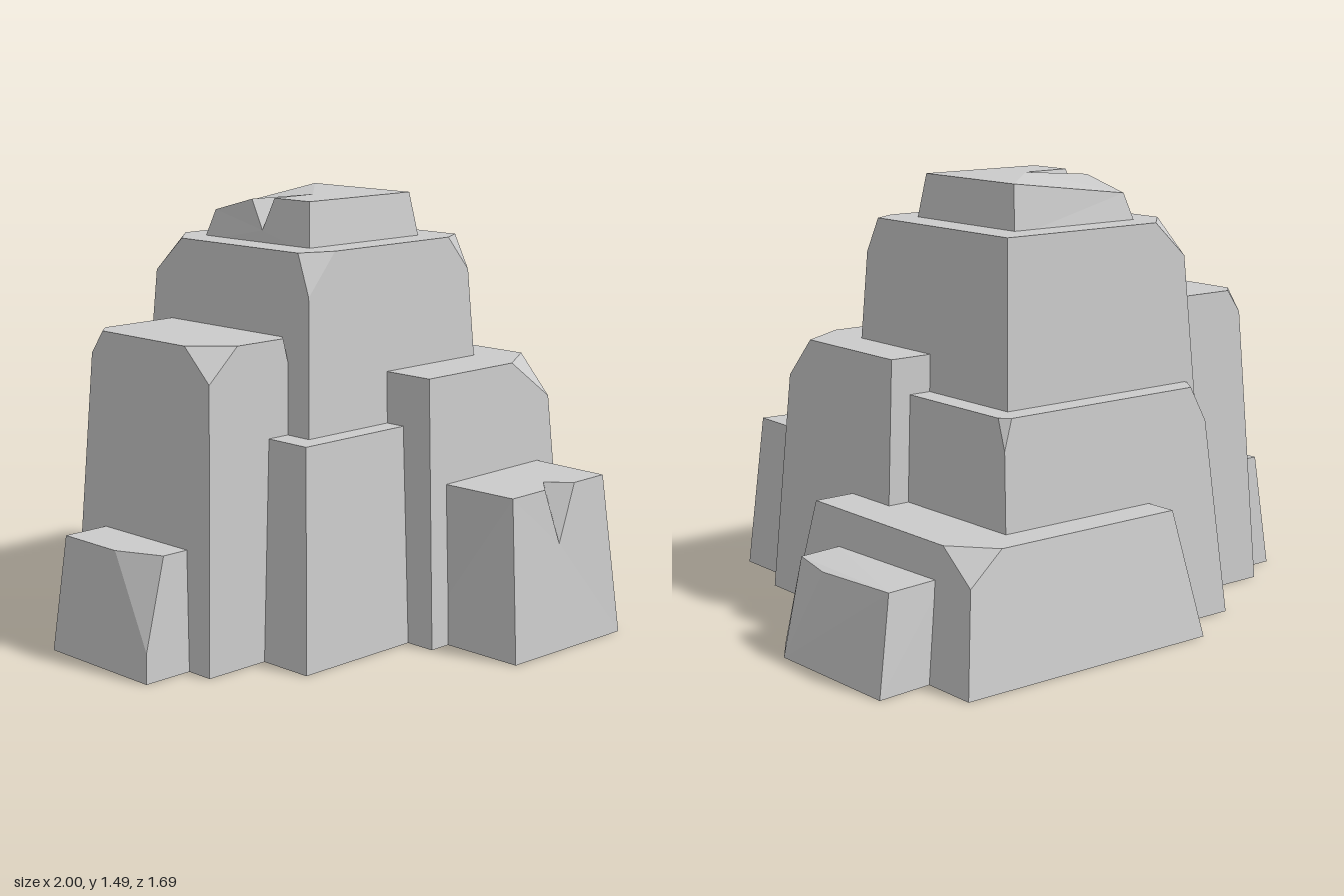
import * as THREE from 'three';
import { ConvexGeometry } from 'three/addons/geometries/ConvexGeometry.js';

const V = (x, y, z) => new THREE.Vector3(x, y, z);

// Tapered block. base/top = [x0, x1, z0, z1]; cuts = chipped top corners,
// each [x side, z side, length along x, length along z, drop down the edge].
function taperedBlock(base, top, height, cuts = []) {
  const points = [];
  for (const i of [0, 1]) {
    for (const k of [0, 1]) {
      const low = V(base[i], 0, base[2 + k]);
      const high = V(top[i], height, top[2 + k]);
      points.push(low);
      const cut = cuts.find((c) => c[0] === i && c[1] === k);
      if (!cut) {
        points.push(high);
        continue;
      }
      const [, , dx, dz, drop] = cut;
      points.push(
        V(high.x + (i ? -dx : dx), height, high.z),
        V(high.x, height, high.z + (k ? -dz : dz)),
        high.clone().lerp(low, drop / height)
      );
    }
  }
  return new ConvexGeometry(points);
}

// Block with a wedge broken out of its first side. Corners run anticlockwise
// seen from above; notch = [edge start, edge end, inner point, low point].
function notchedBlock(low, high, notch) {
  const v = [...low, ...high, ...notch];
  const fans = [
    [11, 8, 4, 0, 1, 5, 9], // broken side
    [10, 9, 5, 6, 7, 4, 8], // top
    [8, 11, 10], [9, 10, 11], // wedge
    [1, 2, 6, 5], [2, 3, 7, 6], [3, 0, 4, 7], [3, 2, 1, 0],
  ];
  const positions = [];
  for (const f of fans) {
    for (let i = 1; i < f.length - 1; i++) {
      for (const n of [f[0], f[i], f[i + 1]]) positions.push(...v[n].toArray());
    }
  }
  const geometry = new THREE.BufferGeometry();
  geometry.setAttribute('position', new THREE.Float32BufferAttribute(positions, 3));
  geometry.computeVertexNormals();
  return geometry;
}

export function createModel() {
  const group = new THREE.Group();
  group.name = 'rockFormation';
  const stone = new THREE.MeshStandardMaterial({ color: 0xcccccc, flatShading: true });
  const add = (name, geometry) => {
    const mesh = new THREE.Mesh(geometry, stone);
    mesh.name = name;
    group.add(mesh);
  };

  // Central column
  add('mainTower', taperedBlock([-0.48, 0.43, -0.59, 0.33], [-0.4, 0.36, -0.5, 0.25], 1.34,
    [[0, 1, 0.12, 0.05, 0.14], [0, 0, 0.12, 0.12, 0.12], [1, 1, 0.09, 0.05, 0.12]]));

  // Capstone, chipped on its -x side
  add('capstone', notchedBlock(
    [V(-0.29, 1.32, -0.39), V(-0.29, 1.32, 0.14), V(0.24, 1.32, 0.14), V(0.24, 1.32, -0.39)],
    [V(-0.26, 1.43, -0.36), V(-0.26, 1.49, 0.11), V(0.22, 1.49, 0.11), V(0.22, 1.49, -0.36)],
    [V(-0.262, 1.48, -0.17), V(-0.26, 1.49, -0.06), V(-0.07, 1.49, -0.07), V(-0.28, 1.38, -0.1)]
  ));

  // Shoulders around the column
  add('sideTower', taperedBlock([-0.82, -0.36, -0.48, 0.22], [-0.76, -0.38, -0.42, 0.17], 1.06,
    [[0, 1, 0.12, 0.12, 0.11], [0, 0, 0.05, 0.05, 0.08], [1, 1, 0.06, 0.08, 0.3]]));
  add('frontShoulder', taperedBlock([-0.58, 0, 0, 0.42], [-0.52, 0, 0, 0.36], 0.74));
  add('frontTower', taperedBlock([-0.1, 0.6, -0.16, 0.53], [-0.06, 0.54, -0.12, 0.47], 0.915,
    [[1, 1, 0.18, 0.11, 0.14]]));
  add('backShoulder', taperedBlock([-0.45, 0.52, -0.7, 0], [-0.39, 0.47, -0.62, 0], 0.79,
    [[0, 0, 0.05, 0.07, 0.12], [1, 0, 0.03, 0.03, 0.1]]));

  // Low outcrops
  add('backLedge', taperedBlock([-0.2, 0.79, -0.845, 0.14], [-0.12, 0.72, -0.77, 0.07], 0.43,
    [[1, 0, 0.12, 0.14, 0.1]]));
  add('sideLedge', taperedBlock([-1, -0.7, -0.37, 0.12], [-0.965, -0.7, -0.33, 0.09], 0.4,
    [[0, 1, 0.07, 0.16, 0.3]]));

  // Small outcrop with one corner sheared from top to ground
  add('smallOutcrop', new ConvexGeometry([
    V(0.7, 0, -0.64), V(0.99, 0, -0.665), V(1, 0, -0.15), V(0.92, 0, -0.035), V(0.76, 0, -0.05), V(0.7, 0, -0.07),
    V(0.7, 0.32, -0.61), V(0.92, 0.315, -0.62), V(0.925, 0.3, -0.27), V(0.88, 0.3, -0.08), V(0.74, 0.31, -0.09),
  ]));

  // Front outcrop, chipped on its top front edge
  add('frontOutcrop', notchedBlock(
    [V(-0.02, 0, 0.83), V(0.51, 0, 0.845), V(0.51, 0, 0.4), V(-0.02, 0, 0.4)],
    [V(0.01, 0.55, 0.78), V(0.47, 0.555, 0.79), V(0.48, 0.555, 0.4), V(0, 0.55, 0.4)],
    [V(0.17, 0.552, 0.783), V(0.32, 0.553, 0.787), V(0.25, 0.553, 0.71), V(0.23, 0.36, 0.8)]
  ));

  return group;
}
